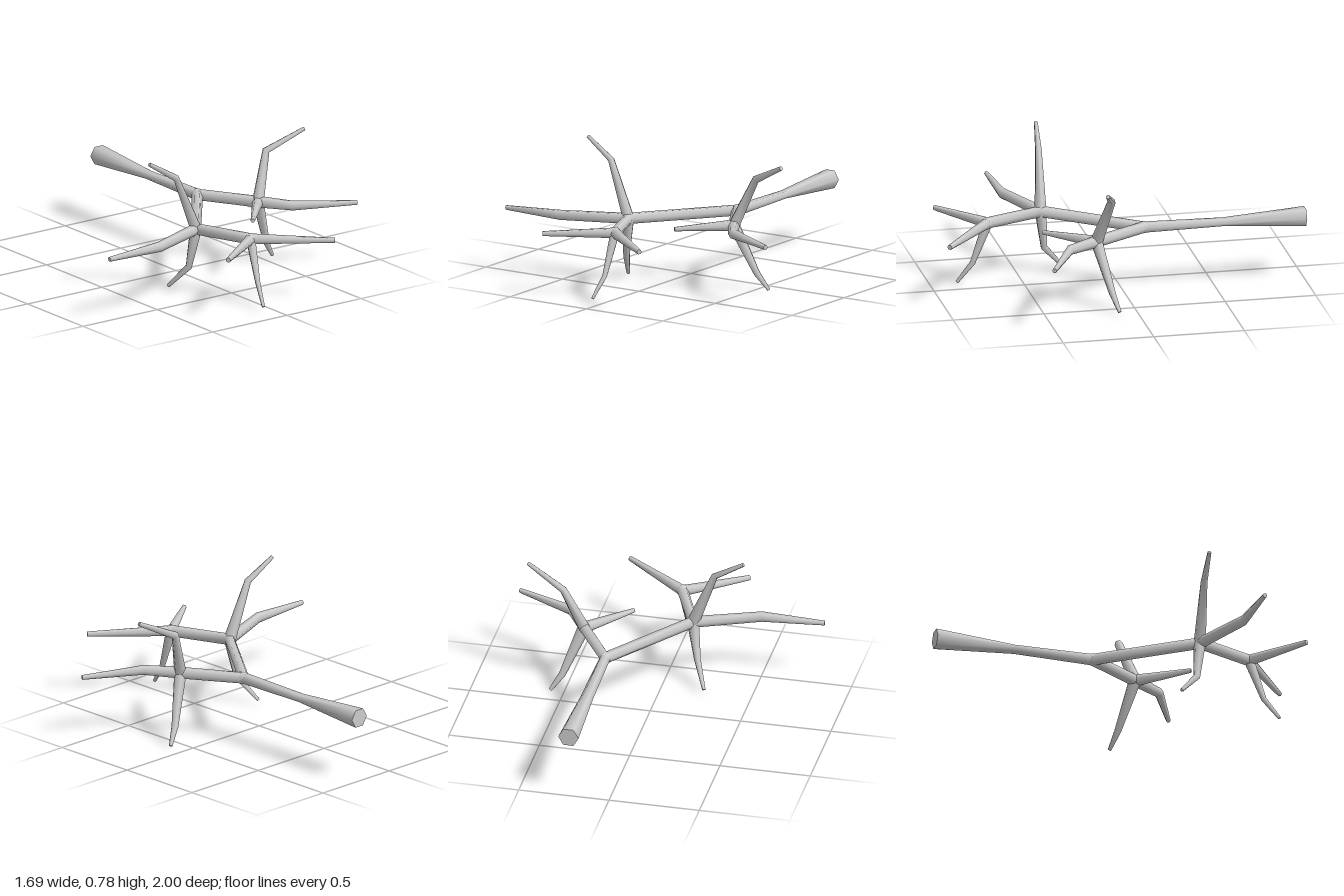
import * as THREE from 'three';

const SIDES = 6;
const Y = 0.365; // height of the flat main fork

// Six-sided limb swept through nodes [x, y, z, radius, optional radius in height], mitred at bends
function limbGeometry(nodes) {
  const pts = nodes.map(n => new THREE.Vector3(n[0], n[1], n[2]));
  const last = pts.length - 1;
  const first = pts[1].clone().sub(pts[0]).normalize();
  const ref = Math.abs(first.y) < 0.5 ? new THREE.Vector3(0, 1, 0) : new THREE.Vector3(0, 0, 1);
  const pos = [], normals = [], index = [];
  const rings = pts.map((p, i) => {
    const a = i > 0 ? p.clone().sub(pts[i - 1]).normalize() : new THREE.Vector3();
    const b = i < last ? pts[i + 1].clone().sub(p).normalize() : new THREE.Vector3();
    const dir = a.add(b).normalize();
    const side = dir.clone().cross(ref).normalize();
    const up = side.clone().cross(dir);
    const r = nodes[i][3], h = nodes[i][4] ?? r;
    const ring = [];
    for (let k = 0; k < SIDES; k++) {
      const t = k / SIDES * Math.PI * 2, c = Math.cos(t), s = Math.sin(t);
      const n = side.clone().multiplyScalar(c).addScaledVector(up, s);
      const v = p.clone().addScaledVector(side, c * r).addScaledVector(up, s * h);
      ring.push(v);
      pos.push(...v.toArray());
      normals.push(...n.toArray());
    }
    return { ring, dir };
  });
  for (let i = 0; i < last; i++) {
    for (let k = 0; k < SIDES; k++) {
      const a = i * SIDES + k, b = i * SIDES + (k + 1) % SIDES;
      index.push(a, b, b + SIDES, a, b + SIDES, a + SIDES);
    }
  }
  // flat cut ends
  [0, last].forEach(i => {
    const base = pos.length / 3, { ring, dir } = rings[i];
    const n = dir.clone().multiplyScalar(i === 0 ? -1 : 1);
    ring.forEach(v => { pos.push(...v.toArray()); normals.push(...n.toArray()); });
    for (let k = 1; k < SIDES - 1; k++) {
      if (i === 0) index.push(base, base + k + 1, base + k);
      else index.push(base, base + k, base + k + 1);
    }
  });
  const g = new THREE.BufferGeometry();
  g.setAttribute('position', new THREE.Float32BufferAttribute(pos, 3));
  g.setAttribute('normal', new THREE.Float32BufferAttribute(normals, 3));
  // pick the outward winding
  const A = rings[0].ring[0], B = rings[0].ring[1], C = rings[1].ring[1];
  const face = B.clone().sub(A).cross(C.clone().sub(A));
  if (face.dot(A.clone().add(B).multiplyScalar(0.5).sub(pts[0])) < 0) {
    for (let i = 0; i < index.length; i += 3) [index[i + 1], index[i + 2]] = [index[i + 2], index[i + 1]];
  }
  g.setIndex(index);
  return g;
}

export function createModel() {
  const group = new THREE.Group();
  const material = new THREE.MeshStandardMaterial({ color: 0xcccccc });
  const add = (name, geometry) => {
    const mesh = new THREE.Mesh(geometry, material);
    mesh.name = name;
    group.add(mesh);
    return mesh;
  };

  // forking points
  const fork = [0.225, Y, -0.11];
  const rightFork = [-0.15, Y, 0.38];
  const frontFork = [-0.02, Y, 0.7];
  const leftFork = [0.41, Y, 0.19];

  const limbs = {
    // thick stem, flaring to its cut end
    stem: [[0.225, Y, -1, 0.056, 0.056], [0.225, Y, -0.55, 0.036, 0.022], [...fork, 0.03, 0.031]],
    // right side
    rightBough: [[...fork, 0.031], [...rightFork, 0.032], [...frontFork, 0.031]],
    rightBranch: [[...rightFork, 0.031], [-0.5, Y, 0.52, 0.025, 0.029], [-0.845, 0.362, 0.531, 0.013]],
    rightUpperTwig: [[...rightFork, 0.034], [-0.273, 0.672, 0.366, 0.019], [-0.437, 0.775, 0.345, 0.011]],
    rightLowerTwig: [[...rightFork, 0.034], [-0.18, 0.15, 0.355, 0.019], [-0.24, 0.027, 0.25, 0.01]],
    frontRightTwig: [[...frontFork, 0.03], [-0.34, 0.362, 0.925, 0.014]],
    frontLeftTwig: [[...frontFork, 0.03], [0.335, 0.362, 0.985, 0.014]],
    frontLowerTwig: [[...frontFork, 0.028], [-0.032, 0.14, 0.78, 0.015], [-0.055, 0.028, 0.862, 0.009]],
    // left side
    leftBough: [[...fork, 0.031], [...leftFork, 0.032], [0.52, Y, 0.36, 0.027], [0.837, 0.362, 0.513, 0.013]],
    leftInnerTwig: [[...leftFork, 0.032], [0.19, 0.362, 0.438, 0.012]],
    leftUpperTwig: [[...leftFork, 0.034], [0.51, 0.62, 0.128, 0.022], [0.72, 0.722, 0.193, 0.012]],
    leftLowerTwig: [[...leftFork, 0.034], [0.515, 0.1, 0.125, 0.019], [0.575, 0.01, 0.097, 0.01]],
  };
  for (const [name, nodes] of Object.entries(limbs)) add(name, limbGeometry(nodes));

  // knots that fill the forks
  const knots = { stemKnot: fork, rightKnot: rightFork, frontKnot: frontFork, leftKnot: leftFork };
  for (const [name, p] of Object.entries(knots)) {
    add(name, new THREE.SphereGeometry(0.033, 10, 6)).position.set(...p);
  }
  return group;
}
